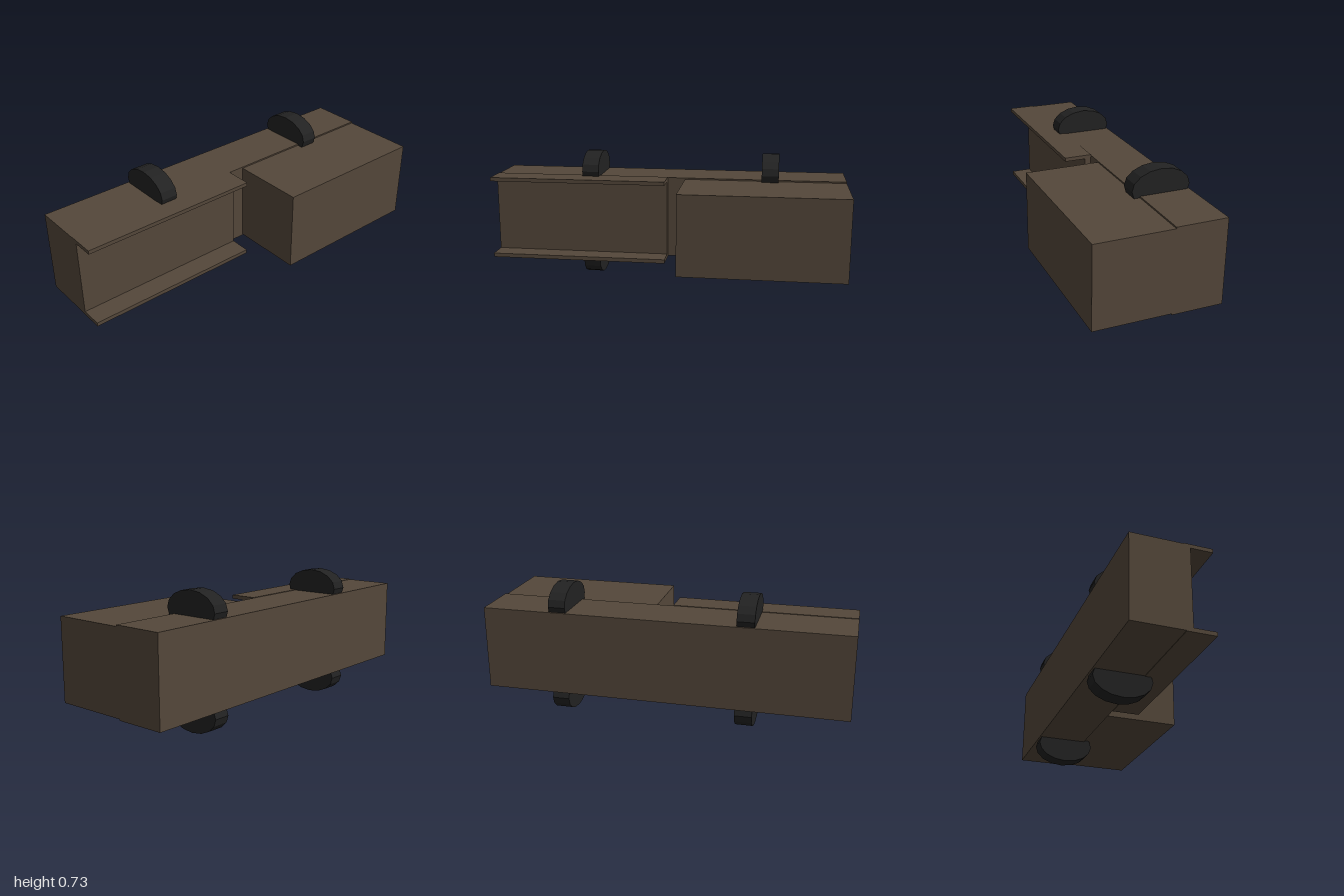
import * as THREE from 'three';

const brown = new THREE.MeshStandardMaterial({ color: 0x54473a });
brown.name = 'brown';
const black = new THREE.MeshStandardMaterial({ color: 0x222222, flatShading: true });
black.name = 'black';

// Box given by its limits along each axis
function addBox(group, name, [x0, x1], [y0, y1], [z0, z1]) {
  const mesh = new THREE.Mesh(new THREE.BoxGeometry(x1 - x0, y1 - y0, z1 - z0), brown);
  mesh.position.set((x0 + x1) / 2, (y0 + y1) / 2, (z0 + z1) / 2);
  mesh.name = name;
  group.add(mesh);
}

export function createModel() {
  const model = new THREE.Group();
  model.name = 'wheeledBeam';

  // Long rear beam and the block in front of its left half
  addBox(model, 'rearBeam', [-1, 1], [0.134, 0.597], [-0.345, -0.07]);
  addBox(model, 'frontBlock', [0.098, 1], [0.141, 0.589], [-0.07, 0.345]);

  // Open channel on the right half: recessed wall between two flanges
  addBox(model, 'channelWall', [-1, 0], [0.153, 0.579], [-0.07, -0.035]);
  addBox(model, 'upperFlange', [-1, 0], [0.579, 0.6], [-0.07, 0.083]);
  addBox(model, 'lowerFlange', [-1, 0], [0.131, 0.153], [-0.07, 0.083]);

  // Flattened sixteen-sided wheels, half sunk in the top and bottom of the beam
  const wheelGeometry = new THREE.CylinderGeometry(0.16, 0.16, 0.094, 16);
  wheelGeometry.rotateZ(Math.PI / 2);
  wheelGeometry.scale(1, 0.101 / 0.16, 1);
  for (const x of [-0.442, 0.578]) {
    for (const y of [0.101, 0.627]) {
      const wheel = new THREE.Mesh(wheelGeometry, black);
      wheel.position.set(x, y, -0.185);
      wheel.name = y > 0.3 ? 'upperWheel' : 'lowerWheel';
      model.add(wheel);
    }
  }
  return model;
}
